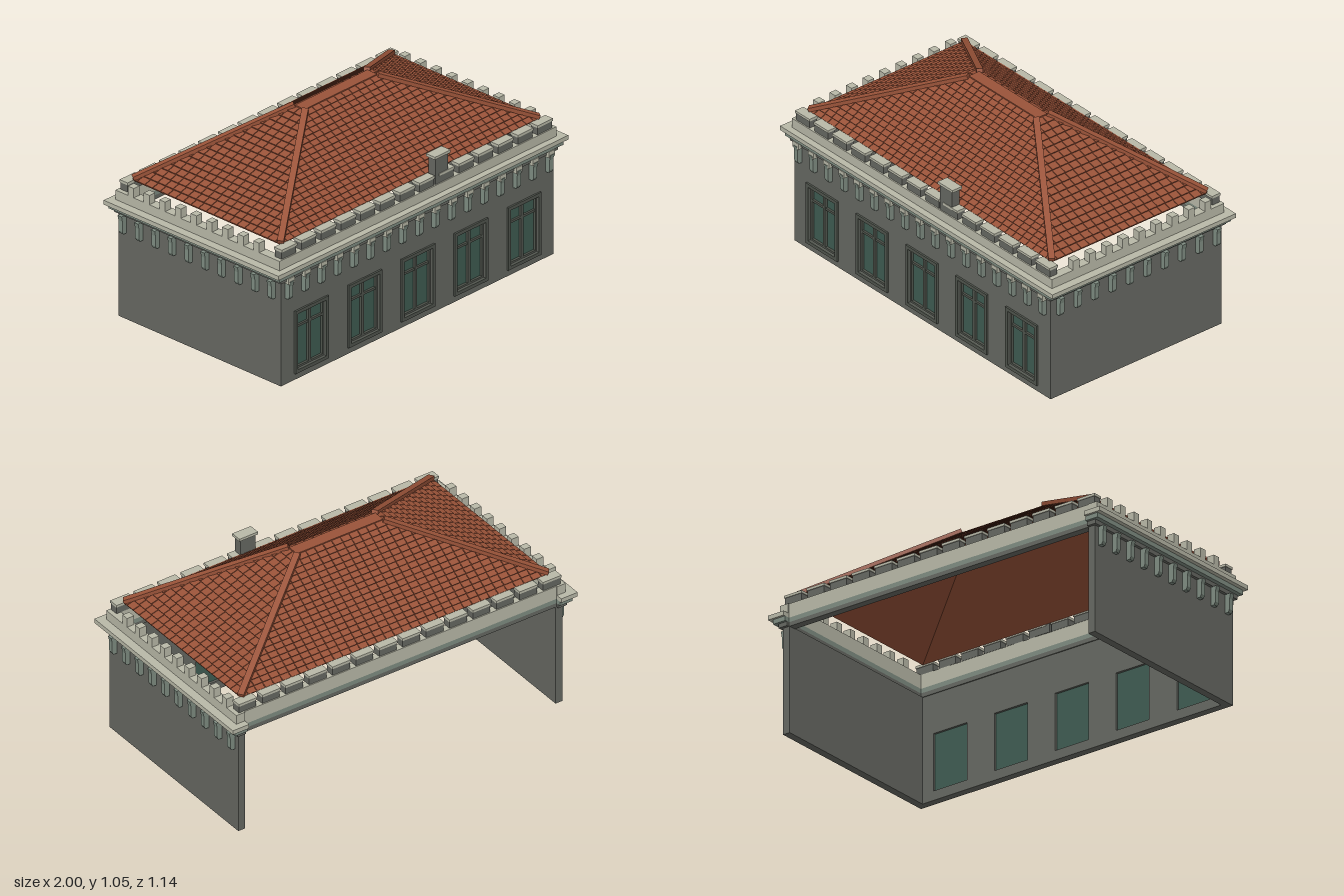
import * as THREE from 'three';

const mat = (name, color, side = THREE.FrontSide) => {
  const m = new THREE.MeshStandardMaterial({ color, side });
  m.name = name;
  return m;
};

export function createModel() {
  const model = new THREE.Group();
  model.name = 'hippedRoofBuilding';
  const wall = mat('wallGrey', 0x666862);
  const stone = mat('paleStone', 0xb9b9a8);
  const green = mat('greyGreenStone', 0x7f8d82);
  const tile = mat('roofTile', 0x9a5339, THREE.DoubleSide);
  const glass = mat('windowGlass', 0x3f5c52, THREE.DoubleSide);
  const frame = mat('windowFrame', 0x50554d);

  const add = (name, geo, m, parent = model) => {
    const mesh = new THREE.Mesh(geo, m);
    mesh.name = name;
    parent.add(mesh);
    return mesh;
  };
  // box given by its minimum and maximum corners
  const box = (name, x0, x1, y0, y1, z0, z1, m, parent = model) => {
    const b = add(name, new THREE.BoxGeometry(x1 - x0, y1 - y0, z1 - z0), m, parent);
    b.position.set((x0 + x1) / 2, (y0 + y1) / 2, (z0 + z1) / 2);
    return b;
  };
  const rect = (T, x0, x1, y0, y1) => new T().moveTo(x0, y0).lineTo(x1, y0).lineTo(x1, y1).lineTo(x0, y1).closePath();
  const extrude = (shape, depth) => new THREE.ExtrudeGeometry(shape, { depth, bevelEnabled: false });

  // walls: pierced front, two plain sides, open back
  const front = rect(THREE.Shape, -0.94, 0.94, 0, 0.56);
  const windowX = [-2, -1, 0, 1, 2].map(i => i * 0.3665);
  for (const x of windowX) front.holes.push(rect(THREE.Path, x - 0.1, x + 0.1, 0.05, 0.35));
  add('frontWall', extrude(front, 0.04), wall).position.z = 0.49;
  for (const s of [-1, 1]) box('sideWall', s * 0.92 - 0.02, s * 0.92 + 0.02, 0, 0.56, -0.53, 0.49, wall);

  // windows with frame, mullion, transom and glass
  for (const x of windowX) {
    const w = new THREE.Group();
    w.name = 'window';
    w.position.x = x;
    const surround = rect(THREE.Shape, -0.115, 0.115, 0.034, 0.368);
    surround.holes.push(rect(THREE.Path, -0.098, 0.098, 0.052, 0.35));
    add('surround', extrude(surround, 0.01), frame, w).position.z = 0.53;
    const sash = rect(THREE.Shape, -0.1, 0.1, 0.05, 0.35);
    sash.holes.push(rect(THREE.Path, -0.09, 0.09, 0.06, 0.34));
    add('sash', extrude(sash, 0.015), frame, w).position.z = 0.507;
    box('glass', -0.1, 0.1, 0.05, 0.35, 0.502, 0.509, glass, w);
    box('mullion', -0.008, 0.008, 0.06, 0.34, 0.508, 0.522, frame, w);
    box('transom', -0.09, 0.09, 0.266, 0.278, 0.508, 0.52, frame, w);
    model.add(w);
  }

  // cornice courses around front and sides, flush across the back
  const courses = [
    ['lowerCornice', 0.556, 0.578, 0.955, 0.545, wall],
    ['middleCornice', 0.578, 0.602, 0.978, 0.558, green],
    ['upperCornice', 0.602, 0.625, 1.0, 0.57, stone],
    ['parapet', 0.625, 0.675, 0.955, 0.535, stone],
  ];
  for (const [name, y0, y1, ox, oz, m] of courses) {
    box(name + 'Front', -0.905, 0.905, y0, y1, 0.485, oz, m);
    box(name + 'Back', -0.905, 0.905, y0, y1, -0.53, -0.49, m);
    box(name + 'Left', 0.905, ox, y0, y1, -oz, oz, m);
    box(name + 'Right', -ox, -0.905, y0, y1, -oz, oz, m);
  }

  // capped blocks on the front and back parapets
  for (let i = 0; i < 14; i++) {
    const x = (i - 6.5) * 0.1357;
    for (const z of [0.506, -0.502]) {
      box('parapetBlock', x - 0.05, x + 0.05, 0.675, 0.713, z - 0.022, z + 0.022, wall);
      box('blockCap', x - 0.053, x + 0.053, 0.713, 0.726, z - 0.026, z + 0.026, stone);
    }
  }
  // plain blocks on the side parapets
  for (let i = 0; i < 9; i++) {
    const z = 0.383 - i * 0.1023;
    for (const s of [-1, 1]) {
      box('sideParapetBlock', s * 0.935 - 0.02, s * 0.935 + 0.02, 0.675, 0.725, z - 0.019, z + 0.019, stone);
    }
  }

  // brackets under the cornice
  const profile = new THREE.Shape([[0, 0.46], [0.02, 0.46], [0.028, 0.475], [0.028, 0.53], [0.034, 0.558], [0, 0.558]]
    .map(p => new THREE.Vector2(...p)));
  const bracketGeo = extrude(profile, 0.026).translate(0, 0, -0.013);
  for (let i = -8; i <= 8; i++) {
    const x = i * 0.1122;
    const b = add('frontBracket', bracketGeo, green);
    b.position.set(x, 0, 0.53);
    b.rotation.y = -Math.PI / 2;
    box('bracketCap', x - 0.021, x + 0.021, 0.545, 0.577, 0.53, 0.561, stone);
  }
  for (let i = 0; i < 10; i++) {
    for (const s of [-1, 1]) {
      const b = add('sideBracket', bracketGeo, green);
      b.position.set(s * 0.94, 0, 0.481 - i * 0.108);
      b.rotation.y = s > 0 ? 0 : Math.PI;
    }
  }

  // chimney
  box('chimney', 0.128, 0.214, 0.675, 0.813, 0.482, 0.529, wall);
  box('chimneyCap', 0.117, 0.225, 0.813, 0.827, 0.476, 0.535, stone);

  // roof slope: a smooth backing plane carrying rows of lapped tiles
  const Y0 = 0.72, Y1 = 1.035, ROWS = 18, TILE = 0.05, GAP = 0.004;
  const slopeGeometry = (d0, d1, w0, w1) => {
    const pos = [];
    const n = new THREE.Vector2(d0 - d1, Y1 - Y0).normalize();
    const point = (s, v, h) => [s, Y0 + (Y1 - Y0) * v + n.x * h, d0 + (d1 - d0) * v + n.y * h];
    const quad = (a, b, c, d) => pos.push(...a, ...b, ...c, ...a, ...c, ...d);
    const width = v => w0 + (w1 - w0) * v;
    const clip = (s, v) => THREE.MathUtils.clamp(s, -width(v), width(v));
    quad(point(-w0, 0, 0), point(w0, 0, 0), point(w1, 1, 0), point(-w1, 1, 0));
    const half = Math.ceil(w0 / TILE);
    for (let r = 0; r < ROWS; r++) {
      const v0 = r / ROWS, v1 = (r + 1) / ROWS;
      for (let i = -half; i < half; i++) {
        const s0 = i * TILE + GAP / 2, s1 = (i + 1) * TILE - GAP / 2;
        const a = clip(s0, v0), b = clip(s1, v0), c = clip(s1, v1), d = clip(s0, v1);
        if (b - a < 0.001) continue;
        const A = point(a, v0, 0.011), B = point(b, v0, 0.011), C = point(c, v1, 0.003), D = point(d, v1, 0.003);
        quad(A, B, C, D);
        quad(point(a, v0, 0), point(b, v0, 0), B, A);
        quad(point(b, v0, 0), point(c, v1, 0), C, B);
        quad(point(d, v1, 0), point(a, v0, 0), A, D);
      }
    }
    const g = new THREE.BufferGeometry();
    g.setAttribute('position', new THREE.Float32BufferAttribute(pos, 3));
    g.computeVertexNormals();
    return g;
  };
  const longSlope = slopeGeometry(0.48, 0.03, 0.89, 0.25);
  const shortSlope = slopeGeometry(0.89, 0.25, 0.48, 0.03);
  ['frontSlope', 'leftSlope', 'backSlope', 'rightSlope'].forEach((name, k) => {
    add(name, k % 2 ? shortSlope : longSlope, tile).rotation.y = k * Math.PI / 2;
  });

  // ridge and hip caps
  box('ridgeCap', -0.25, 0.25, 1.025, 1.043, -0.032, 0.032, tile);
  for (const sx of [-1, 1]) for (const sz of [-1, 1]) {
    const a = new THREE.Vector3(sx * 0.892, 0.736, sz * 0.482);
    const b = new THREE.Vector3(sx * 0.25, 1.045, sz * 0.036);
    const hip = add('hipCap', new THREE.BoxGeometry(0.032, 0.02, a.distanceTo(b)), tile);
    hip.position.copy(a).lerp(b, 0.5);
    hip.lookAt(b);
  }
  return model;
}
